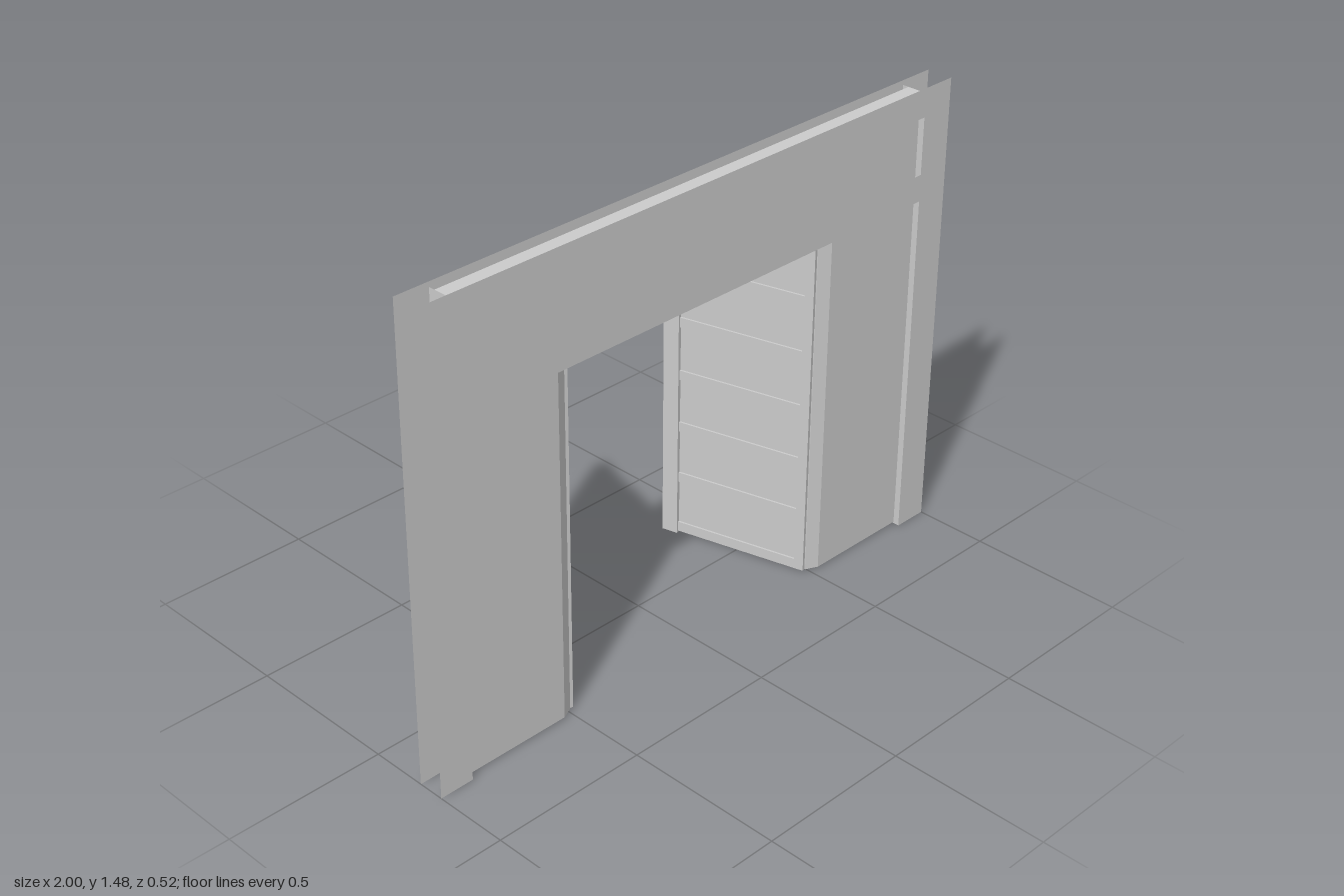
import * as THREE from 'three';

const mat = new THREE.MeshStandardMaterial({ color: 0xcccccc, flatShading: true, side: THREE.DoubleSide });
const FRONT = 0.264, BACK = 0.18, MID = 0.222; // wall planes in z
const TOP = 1.48, LINTEL = 1.125, INNER = 0.888;

function add(parent, name, geometry, x = 0, y = 0, z = 0) {
  const mesh = new THREE.Mesh(geometry, mat);
  mesh.name = name;
  mesh.position.set(x, y, z);
  parent.add(mesh);
  return mesh;
}

// box given by its lower and upper y
function block(parent, name, w, y0, y1, d, x = 0, z = 0) {
  return add(parent, name, new THREE.BoxGeometry(w, y1 - y0, d), x, (y0 + y1) / 2, z);
}

// thin outer sheet: two legs and a lintel pierced by a row of windows
function facingSheet() {
  const s = new THREE.Shape([
    [-1, 0], [-INNER, 0], [-INNER, LINTEL], [INNER, LINTEL], [INNER, 0], [1, 0], [1, TOP], [-1, TOP],
  ].map(([x, y]) => new THREE.Vector2(x, y)));
  const pitch = 0.199, half = 0.066;
  for (let i = 0; i < 10; i++) {
    const c = (i - 4.5) * pitch;
    const a = Math.max(c - half, -INNER), b = Math.min(c + half, INNER);
    s.holes.push(new THREE.Path([[a, 1.21], [a, 1.39], [b, 1.39], [b, 1.21]]
      .map(([x, y]) => new THREE.Vector2(x, y))));
  }
  return new THREE.ShapeGeometry(s);
}

// side wall with a bevelled jamb toward the opening
function sideWall(side) {
  const pts = [[INNER, 0.022], [0.53, 0.022], [0.492, 0.004], [0.492, -0.004], [0.53, -0.022], [INNER, -0.022]];
  const s = new THREE.Shape(pts.map(([x, z]) => new THREE.Vector2(side * x, -z)));
  const g = new THREE.ExtrudeGeometry(s, { depth: LINTEL - 0.005, bevelEnabled: false });
  return g.rotateX(-Math.PI / 2);
}

// hinged leaf with raised rails and a closing post
function doorLeaf(side) {
  const door = new THREE.Group();
  door.name = side > 0 ? 'leftDoor' : 'rightDoor';
  block(door, 'doorPanel', 0.02, 0.005, 1.122, 0.45, 0, -0.225);
  for (let i = 0; i < 7; i++) {
    const y = 0.005 + i * 0.1808;
    block(door, 'doorRail', 0.032, y, y + 0.033, 0.44, 0, -0.22);
  }
  block(door, 'hingeStile', 0.032, 0.005, 1.122, 0.03, 0, -0.015);
  block(door, 'closingPost', 0.046, 0, 1.125, 0.052, 0, -0.464);
  door.position.set(side * 0.496, 0, MID);
  door.rotation.y = side * 0.255;
  return door;
}

export function createModel() {
  const model = new THREE.Group();
  model.name = 'gateway';

  // front and back facings
  add(model, 'frontFacing', facingSheet(), 0, 0, FRONT);
  add(model, 'backFacing', facingSheet(), 0, 0, BACK).geometry.scale(1, 1, -1);

  // lintel core behind the windows, and its full-depth underside
  block(model, 'lintelCore', 2 * INNER, LINTEL, 1.465, 0.044, 0, MID);
  const soffit = new THREE.PlaneGeometry(2 * INNER, FRONT - BACK).rotateX(Math.PI / 2);
  add(model, 'lintelUnderside', soffit, 0, LINTEL, MID);

  for (const side of [1, -1]) {
    // web joining the two facings
    const web = new THREE.PlaneGeometry(FRONT - BACK, 1.465).rotateY(side * Math.PI / 2);
    add(model, 'endWeb', web, side * INNER, 1.465 / 2, MID);
    add(model, 'sideWall', sideWall(side), 0, 0.005, MID);
    model.add(doorLeaf(side));
  }
  return model;
}
